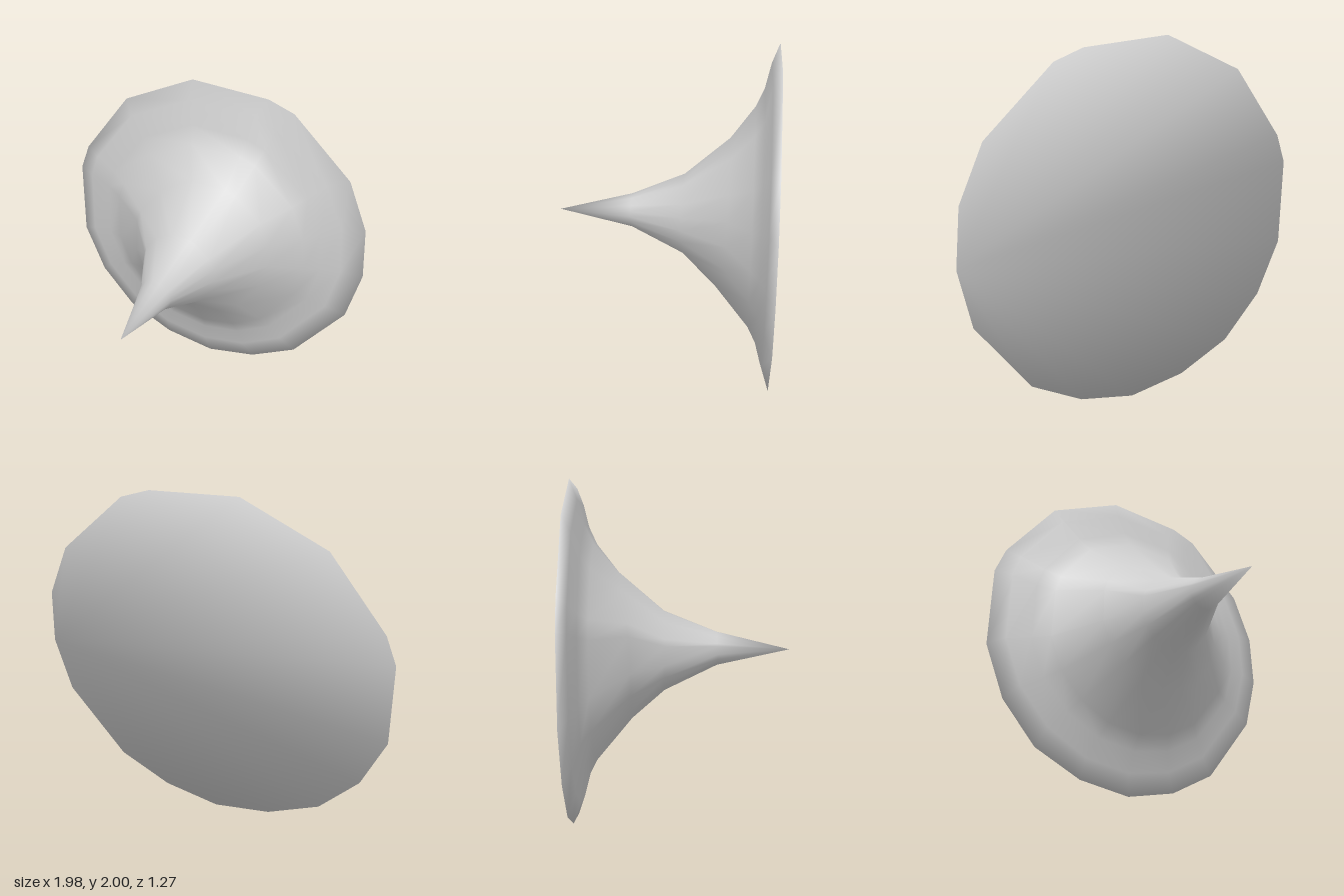
import * as THREE from 'three';

// Rim corners (x, y), counter-clockwise from the front
const RIM = [
  [0.985, 0.93], [0.96, 1.25], [0.83, 1.55], [0.46, 1.9], [0.3, 1.96], [-0.18, 2], [-0.63, 1.8],
  [-0.93, 1.41], [-0.99, 1.25], [-0.99, 0.77], [-0.86, 0.46], [-0.64, 0.21], [-0.34, 0.06],
  [-0.01, 0], [0.31, 0.06], [0.6, 0.21], [0.91, 0.61],
];

// Flare rings: centre x, centre y, radius, z, and z tilt towards the upper right
const RINGS = [
  [-0.02, 1.02, 0.1, 0.2, 0],
  [-0.02, 1.01, 0.238, -0.11, 0],
  [0.02, 1.04, 0.44, -0.34, -0.04],
  [-0.01, 1.005, 0.65, -0.51, 0],
  [-0.015, 1.01, 0.75, -0.558, 0],
  [-0.03, 1.015, 0.885, -0.592, 0],
];
const BACK_Z = -0.635;
const TIP = [-0.015, 1.01, 0.635];

function flaredHorn() {
  const n = RIM.length;
  const pos = [...TIP];
  const index = [];

  // Cross-sections from the tip to the rim
  for (const [cx, cy, r, z, tilt] of RINGS) {
    for (const [x, y] of RIM) {
      const a = Math.atan2(y - 1, x);
      const lean = Math.max(-1, Math.min(1, Math.cos(a) + Math.sin(a)));
      pos.push(cx + r * Math.cos(a), cy + r * Math.sin(a), z + tilt * lean);
    }
  }
  for (const [x, y] of RIM) pos.push(x, y, BACK_Z);

  // Point, then the bands of the flare
  const at = (ring, j) => 1 + ring * n + (j % n);
  for (let j = 0; j < n; j++) {
    index.push(0, at(0, j), at(0, j + 1));
    for (let i = 0; i < RINGS.length; i++) {
      index.push(at(i, j), at(i + 1, j), at(i + 1, j + 1));
      index.push(at(i, j), at(i + 1, j + 1), at(i, j + 1));
    }
  }
  // Flat back
  const last = RINGS.length;
  for (let j = 1; j < n - 1; j++) index.push(at(last, 0), at(last, j + 1), at(last, j));

  const geometry = new THREE.BufferGeometry();
  geometry.setAttribute('position', new THREE.Float32BufferAttribute(pos, 3));
  geometry.setIndex(index);
  geometry.computeVertexNormals();

  // Smooth the rim over from the flare into the back
  const normal = geometry.attributes.normal;
  RIM.forEach(([x, y], j) => {
    const v = new THREE.Vector3(x, y - 1, -0.147).normalize();
    normal.setXYZ(at(last, j), v.x, v.y, v.z);
  });
  return geometry;
}

export function createModel() {
  const group = new THREE.Group();
  group.name = 'flaredSpike';
  const horn = new THREE.Mesh(flaredHorn(), new THREE.MeshStandardMaterial({ color: 0xcccccc }));
  horn.name = 'flaredHorn';
  group.add(horn);
  return group;
}
